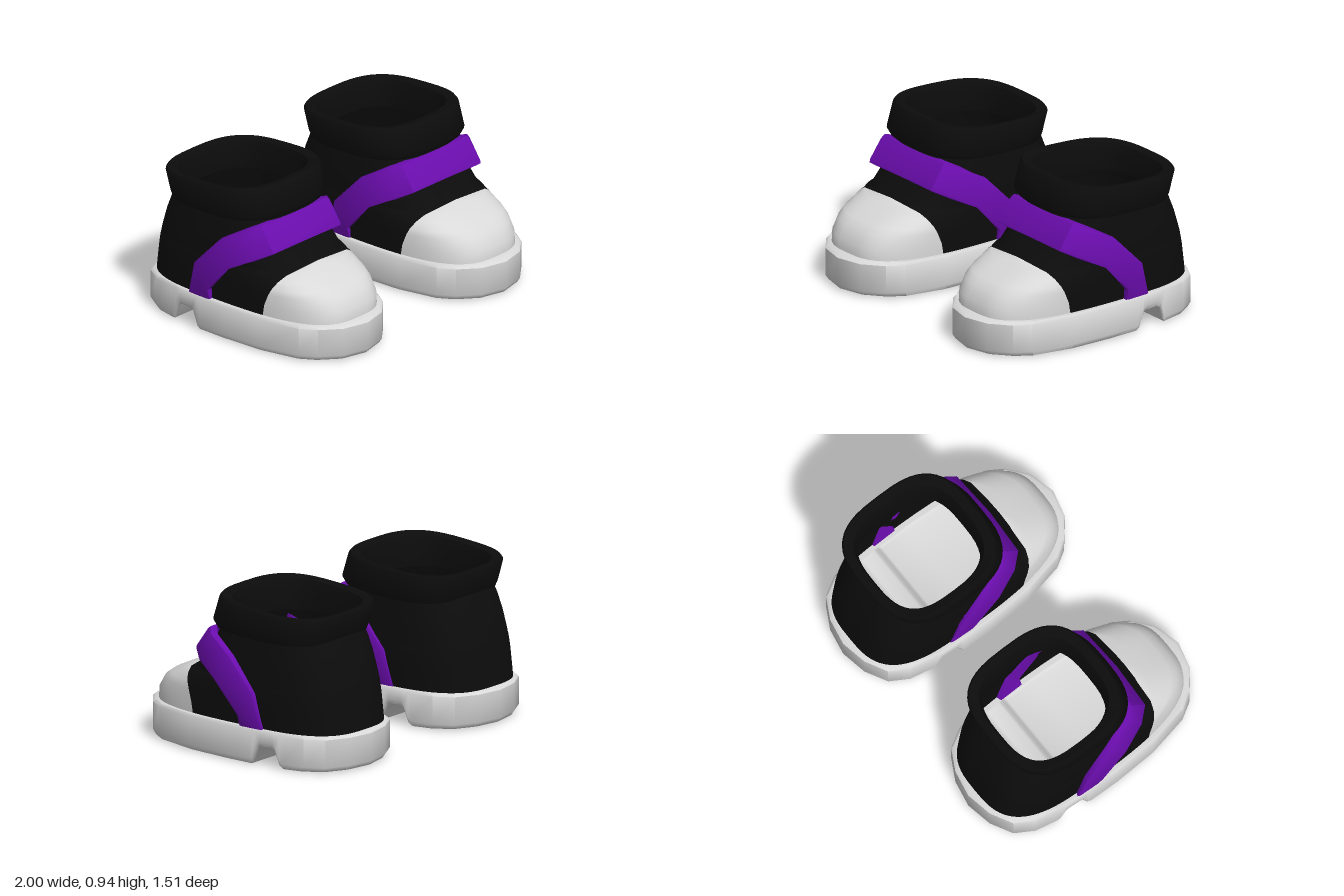
import * as THREE from 'three';
import { toCreasedNormals } from 'three/addons/utils/BufferGeometryUtils.js';

const paint = (name, color) => {
  const m = new THREE.MeshStandardMaterial({ color, side: THREE.DoubleSide });
  m.name = name;
  return m;
};

// Skin a surface over rows of [x, y, z] points; skip(row, a, b) leaves a hole.
function skin(rows, closed = false, skip = () => false) {
  const n = rows[0].length, index = [];
  for (let r = 0; r < rows.length - 1; r++) {
    for (let c = 0; c < (closed ? n : n - 1); c++) {
      const d = (c + 1) % n;
      if (skip(r, rows[r][c], rows[r][d])) continue;
      const a = r * n + c, b = r * n + d;
      index.push(a, a + n, b, b, a + n, b + n);
    }
  }
  const g = new THREE.BufferGeometry();
  g.setAttribute('position', new THREE.Float32BufferAttribute(rows.flat(2), 3));
  g.setIndex(index);
  g.computeVertexNormals();
  return g;
}

// Point on a rounded-square ring; angle 90 degrees is the front.
const POWER = 3;
function ringPoint(t, zc, front, back, w) {
  const c = Math.cos(t), s = Math.sin(t), e = 2 / POWER;
  const x = w * Math.sign(c) * Math.pow(Math.abs(c), e);
  const z = zc + (s > 0 ? front - zc : zc - back) * Math.sign(s) * Math.pow(Math.abs(s), e);
  return [x, z];
}

// Sole: U-shaped sections along z, with a notch ahead of the heel.
function soleGeometry() {
  const stations = [ // z, half width, bottom y
    [0.755, 0, 0], [0.715, 0.16, 0], [0.62, 0.275, 0], [0.525, 0.335, 0], [0.27, 0.39, 0],
    [0, 0.405, 0], [-0.185, 0.403, 0], [-0.205, 0.402, 0.015], [-0.24, 0.4, 0.1],
    [-0.26, 0.4, 0.11], [-0.34, 0.395, 0.11], [-0.36, 0.393, 0.1], [-0.39, 0.385, 0.015],
    [-0.41, 0.382, 0], [-0.55, 0.355, 0], [-0.66, 0.29, 0], [-0.73, 0.16, 0], [-0.76, 0, 0],
  ];
  const rows = stations.map(([z, w, b]) => {
    const half = [[0.84, 0.215], [0.975, 0.215], [1, 0.2], [1, b + 0.035], [0.975, b + 0.008], [0.93, b]]
      .map(([k, y]) => [w * k, y, Math.abs(z) < 0.42 ? z : z * k]);
    return [...half, ...half.map(([x, y, q]) => [-x, y, q]).reverse()];
  });
  return toCreasedNormals(skin(rows), 0.8);
}

// Upper: horizontal rings, divided at the toe cap seam.
const RINGS = [ // y, front z, back z, half width
  [0.215, 0.685, -0.715, 0.37], [0.28, 0.68, -0.705, 0.372], [0.35, 0.635, -0.695, 0.372],
  [0.385, 0.585, -0.69, 0.372], [0.425, 0.5, -0.683, 0.37], [0.455, 0.43, -0.677, 0.368],
  [0.475, 0.37, -0.673, 0.365], [0.55, 0.29, -0.65, 0.36], [0.6, 0.26, -0.635, 0.355],
  [0.69, 0.215, -0.598, 0.345], [0.75, 0.18, -0.565, 0.335],
];
function upperRows(toe) {
  const zc = -0.15, count = toe ? 24 : 48;
  const rings = toe ? RINGS.slice(0, 7) : RINGS;
  return rings.map(([y, f, b, w]) => {
    const seam = 0.265 + 0.105 * Math.pow((y - 0.215) / 0.26, 1.6);
    const ratio = Math.min(1, (seam - zc) / (f - zc));
    const t = Math.asin(Math.pow(ratio, POWER / 2));
    const from = toe ? t : Math.PI - t, to = toe ? Math.PI - t : 2 * Math.PI + t;
    return Array.from({ length: count + 1 }, (_, i) => {
      const [x, z] = ringPoint(from + (to - from) * i / count, zc, f, b, w);
      return [x, y, z];
    });
  });
}

// Collar: flared padded band with an inner wall.
function collarGeometry() {
  const loops = [ // front z, back z, half width, front y, back y
    [0.17, -0.55, 0.33, 0.74, 0.72], [0.215, -0.565, 0.372, 0.745, 0.722],
    [0.235, -0.575, 0.385, 0.78, 0.75], [0.187, -0.61, 0.388, 0.92, 0.872],
    [0.175, -0.602, 0.378, 0.935, 0.886], [0.12, -0.55, 0.33, 0.92, 0.88],
    [0.1, -0.53, 0.315, 0.86, 0.83], [0.1, -0.53, 0.315, 0.74, 0.72],
  ];
  const rows = loops.map(([f, b, w, yf, yb]) => Array.from({ length: 48 }, (_, i) => {
    const [x, z] = ringPoint(i / 48 * Math.PI * 2, (f + b) / 2, f, b, w);
    return [x, yb + (yf - yb) * (z - b) / (f - b), z];
  }));
  return toCreasedNormals(skin(rows, true), 0.9);
}

// Strap: a padded band from one side of the sole, over the instep, to the other.
function strapGeometry() {
  const half = [ // lower x, y, z, then upper x, y, z
    [0.39, 0.215, -0.11, 0.385, 0.215, -0.275], [0.41, 0.28, -0.11, 0.405, 0.42, -0.215],
    [0.41, 0.46, 0.06, 0.388, 0.61, -0.03], [0.355, 0.54, 0.215, 0.34, 0.7, 0.14],
    [0.285, 0.58, 0.295, 0.28, 0.725, 0.195], [0, 0.59, 0.308, 0, 0.725, 0.205],
  ];
  const section = ([lx, ly, lz, ux, uy, uz]) => {
    const lo = new THREE.Vector3(lx, ly, lz), up = new THREE.Vector3(ux, uy, uz);
    const grow = (p, k) => [p.x * k, p.y, -0.12 + (p.z + 0.12) * k];
    const at = f => lo.clone().lerp(up, f);
    const inLo = grow(lo, 0.9), inUp = grow(up, 0.9);
    if (ly > 0.5) inLo[1] -= 0.025;
    return [grow(lo, 0.99), grow(at(0.12), 1.005), grow(at(0.88), 1.005), grow(up, 0.99), inUp, inLo];
  };
  const side = half.map(section);
  const other = side.slice(0, -1).reverse().map(row => row.map(([x, y, z]) => [-x, y, z]));
  return toCreasedNormals(skin([...side, ...other], true), 0.7);
}

export function createModel() {
  const white = paint('off white', 0xd9d9d9);
  const black = paint('black', 0x0c0c0c);
  const purple = paint('purple', 0x6a0dad);

  // The upper is open behind the strap.
  const gap = (r, a, b) => r === 8 && a[2] > 0 && Math.abs(a[0]) < 0.23 && Math.abs(b[0]) < 0.23;
  const parts = [
    ['sole', soleGeometry(), white],
    ['toeCap', skin(upperRows(true)), white],
    ['upper', skin(upperRows(false), false, gap), black],
    ['collar', collarGeometry(), black],
    ['strap', strapGeometry(), purple],
  ];

  const model = new THREE.Group();
  model.name = 'shoes';
  for (const [name, x, sign] of [['rightShoe', -0.588, -1], ['leftShoe', 0.578, 1]]) {
    const shoe = new THREE.Group();
    shoe.name = name;
    shoe.position.x = x;
    for (const [part, geometry, material] of parts) {
      const mesh = new THREE.Mesh(geometry, material);
      mesh.name = part;
      if (part === 'strap') mesh.position.x = sign * 0.008;
      shoe.add(mesh);
    }
    model.add(shoe);
  }
  return model;
}
